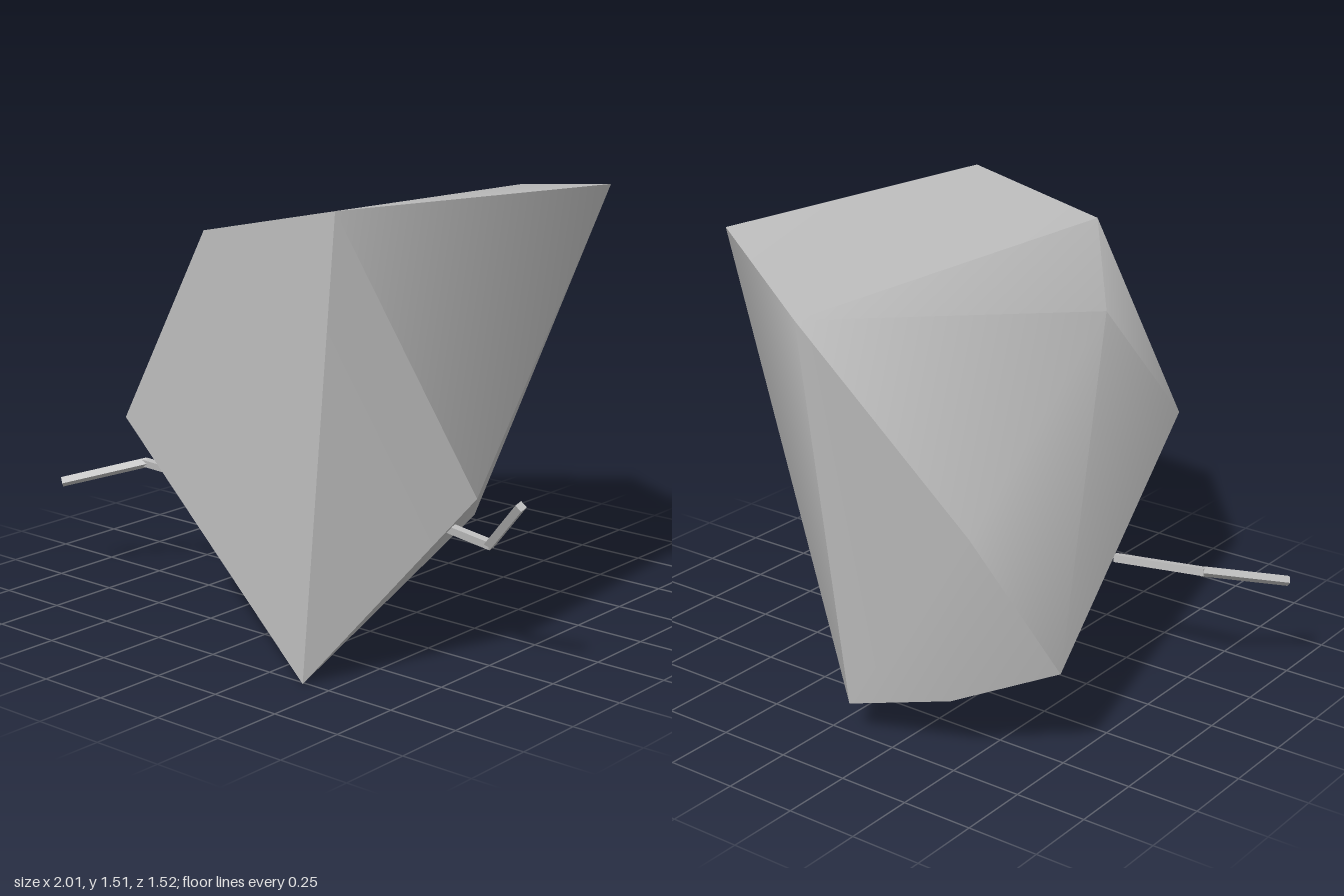
import * as THREE from 'three';
import { toCreasedNormals } from 'three/addons/utils/BufferGeometryUtils.js';
import { ConvexGeometry } from 'three/addons/geometries/ConvexGeometry.js';

const stone = new THREE.MeshStandardMaterial({ color: 0xbdbdbd });
stone.name = 'stoneGrey';

const vec = (p) => new THREE.Vector3(...p);

// Corners of the boulder, front to back
const corners = [
  [0.54, 1.515, 0.76], [0, 1.4, 0.76], [-0.37, 0.74, 0.76], [0.4, 0, 0.76],
  [0.76, 0.58, 0.34], [-0.37, 1.245, 0.27],
  [0.755, 1.49, -0.37], [-0.755, 0.33, -0.53], [-0.45, 0.21, -0.7],
  [0.11, 1.385, -0.76], [-0.57, 0.82, -0.76], [-0.08, 0.11, -0.76],
];

// Bent stick made of square rods that meet at the elbow
function makeStick(name, points) {
  const group = new THREE.Group();
  group.name = name;
  const up = new THREE.Vector3(0, 1, 0);
  for (let i = 0; i < points.length - 1; i++) {
    const a = vec(points[i]);
    const b = vec(points[i + 1]);
    const dir = b.clone().sub(a);
    const rod = new THREE.Mesh(new THREE.BoxGeometry(0.026, dir.length() + 0.01, 0.026), stone);
    rod.name = name + 'Segment' + (i + 1);
    rod.position.copy(a).add(b).multiplyScalar(0.5);
    rod.quaternion.setFromUnitVectors(up, dir.normalize());
    group.add(rod);
  }
  return group;
}

export function createModel() {
  const model = new THREE.Group();
  model.name = 'boulderWithSticks';

  // Faceted boulder, softened across the shallower edges
  const boulder = new THREE.Mesh(
    toCreasedNormals(new ConvexGeometry(corners.map(vec)), THREE.MathUtils.degToRad(50)), stone);
  boulder.name = 'boulder';
  model.add(boulder);

  // Stick arms on both sides
  model.add(makeStick('rightArm', [[-0.46, 0.38, 0.23], [-0.79, 0.405, 0.265], [-0.99, 0.345, 0.485]]));
  model.add(makeStick('leftArm', [[0.55, 0.45, 0.285], [0.79, 0.43, 0.31], [0.985, 0.615, 0.42]]));
  return model;
}
